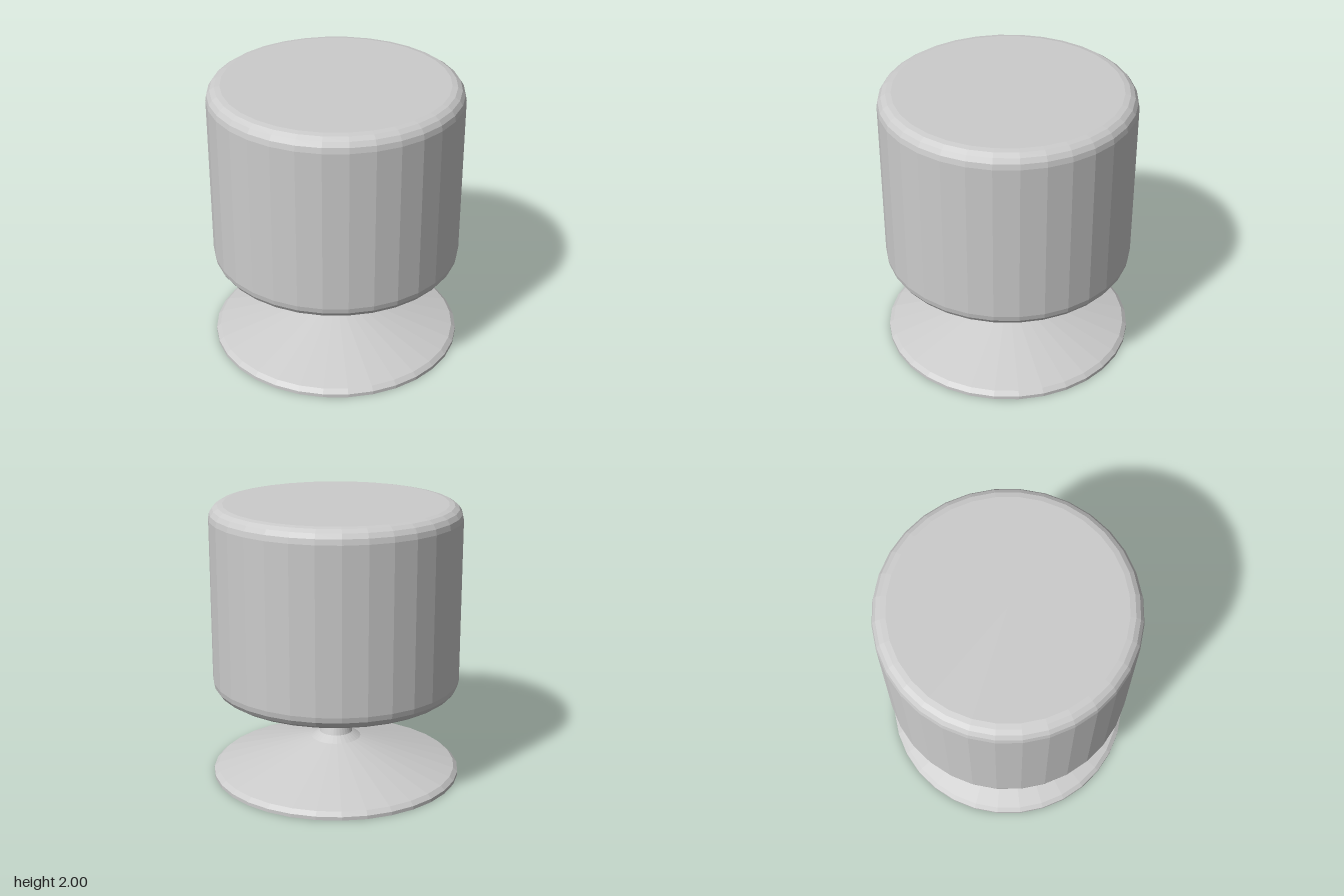
import * as THREE from 'three';

const SIDES = 32;

// Turned solid from [radius, height] pairs, listed bottom to top
function turned(name, profile, material) {
  const points = profile.map(([r, y]) => new THREE.Vector2(r, y));
  const mesh = new THREE.Mesh(new THREE.LatheGeometry(points, SIDES), material);
  mesh.name = name;
  return mesh;
}

// Drum profile with rounded rims
function drumProfile(radius, bottom, top, bevel, steps) {
  const profile = [[0, bottom]];
  for (const [centre, start] of [[bottom + bevel, -Math.PI / 2], [top - bevel, 0]]) {
    for (let i = 0; i <= steps; i++) {
      const a = start + (i / steps) * Math.PI / 2;
      profile.push([radius - bevel + bevel * Math.cos(a), centre + bevel * Math.sin(a)]);
    }
  }
  profile.push([0, top]);
  return profile;
}

export function createModel() {
  const group = new THREE.Group();
  group.name = 'pedestalStool';
  const material = new THREE.MeshStandardMaterial({ color: 0xcccccc, flatShading: true });

  // Padded cylindrical seat
  group.add(turned('seat', drumProfile(0.89, 0.635, 2, 0.1, 4), material));

  // Flared foot running up into a slim stem
  group.add(turned('pedestal', [
    [0, 0], [0.9, 0], [0.9, 0.025], [0.87, 0.053],
    [0.18, 0.26], [0.12, 0.3], [0.1, 0.36], [0.1, 0.64],
  ], material));

  return group;
}
